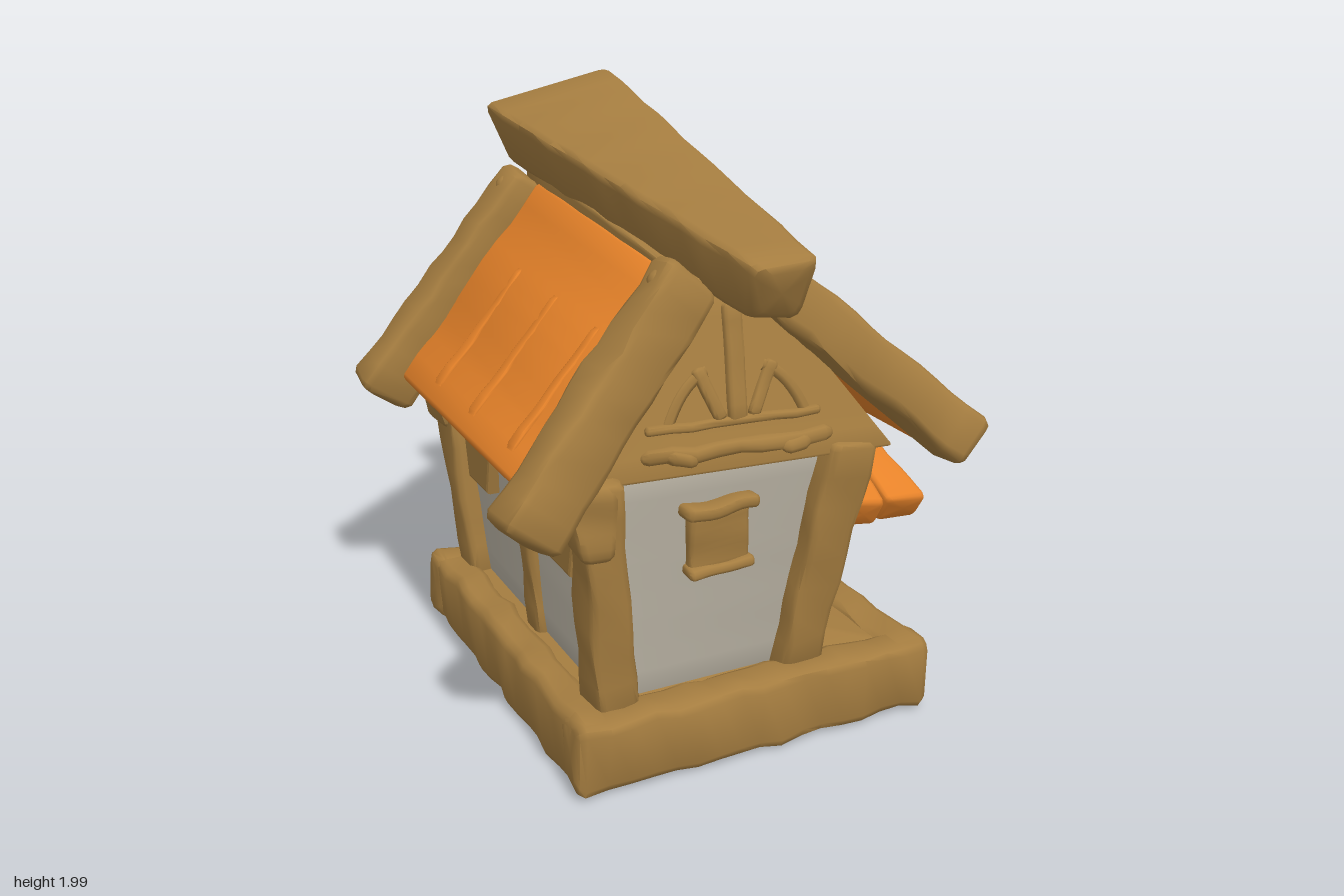
import * as THREE from 'three';
import { toCreasedNormals } from 'three/addons/utils/BufferGeometryUtils.js';

const V = (x, y, z) => new THREE.Vector3(x, y, z);

// Smooth lumpy offset for hand-hewn wood
function lump(p, n) {
  return V(
    Math.sin(p.y * 17 + p.z * 23 + 1) + 0.6 * Math.sin(p.z * 41 + p.x * 9),
    Math.sin(p.x * 21 + p.z * 19 + 2) + 0.6 * Math.sin(p.x * 37 + p.y * 11),
    Math.sin(p.x * 25 + p.y * 15 + 4) + 0.6 * Math.sin(p.y * 43 + p.x * 7)
  ).multiplyScalar(n);
}

// Solid between two four-cornered sections, with rounded edges and ends
function loft(qa, qb, { r = 0.025, n = 0.005, segs = 8 } = {}) {
  const mid = (q) => q.reduce((s, p) => s.add(p), V(0, 0, 0)).multiplyScalar(0.25);
  const len = mid(qa).distanceTo(mid(qb));
  const e = Math.min(0.3, r / len);
  const ts = [0, e * 0.3];
  for (let i = 0; i <= segs; i++) ts.push(e + (1 - 2 * e) * i / segs);
  ts.push(1 - e * 0.3, 1);
  const pos = [], idx = [], K = 12;
  const put = (p) => { p.add(lump(p, n)); pos.push(p.x, p.y, p.z); };
  ts.forEach((t, k) => {
    const end = Math.min(k, ts.length - 1 - k);
    const inset = end === 0 ? r : end === 1 ? r * 0.3 : 0;
    const q = qa.map((p, i) => p.clone().lerp(qb[i], t));
    const c = q.map((p, i) => {
      const a = q[(i + 3) % 4].clone().sub(p), b = q[(i + 1) % 4].clone().sub(p);
      const s = Math.min(inset, a.length() * 0.3, b.length() * 0.3);
      return p.clone().addScaledVector(a.normalize(), s).addScaledVector(b.normalize(), s);
    });
    c.forEach((p, i) => {
      const a = c[(i + 3) % 4].clone().sub(p), b = c[(i + 1) % 4].clone().sub(p);
      const s = Math.min(r, a.length() * 0.35, b.length() * 0.35);
      a.normalize(); b.normalize();
      put(p.clone().addScaledVector(a, s));
      put(p.clone().addScaledVector(a, s * 0.29).addScaledVector(b, s * 0.29));
      put(p.clone().addScaledVector(b, s));
    });
  });
  for (let k = 0; k < ts.length - 1; k++) for (let i = 0; i < K; i++) {
    const a = k * K + i, b = k * K + (i + 1) % K;
    idx.push(a, b, b + K, a, b + K, a + K);
  }
  const c0 = pos.length / 3, last = (ts.length - 1) * K;
  put(mid(qa)); put(mid(qb));
  for (let i = 0; i < K; i++) {
    const j = (i + 1) % K;
    idx.push(c0, j, i, c0 + 1, last + i, last + j);
  }
  // Turn the faces outward if the sections were given the other way round
  const area = qa[2].clone().sub(qa[0]).cross(qa[3].clone().sub(qa[1]));
  if (area.dot(mid(qb).sub(mid(qa))) < 0) idx.reverse();
  const g = new THREE.BufferGeometry();
  g.setAttribute('position', new THREE.Float32BufferAttribute(pos, 3));
  g.setIndex(idx);
  return toCreasedNormals(g, 0.9);
}

// Level rectangle at height y; the front left corner may sit at its own depth
const rect = (x0, x1, z0, z1, y, zl = z1) => [V(x0, y, z0), V(x1, y, z0), V(x1, y, z1), V(x0, y, zl)];

// Beam from a to b: w wide along the side direction, d deep across it
function beam(a, b, w, d, side, opt = {}) {
  const dir = b.clone().sub(a).normalize();
  const u = side.clone().addScaledVector(dir, -side.dot(dir)).normalize();
  const v = dir.clone().cross(u);
  const quad = (p, s) => [[-1, -1], [1, -1], [1, 1], [-1, 1]].map(([i, j]) =>
    p.clone().addScaledVector(u, i * w * s / 2).addScaledVector(v, j * d * s / 2));
  return loft(quad(a, 1), quad(b, opt.taper ?? 1), opt);
}

export function createModel() {
  const model = new THREE.Group();
  model.name = 'birdhouseCottage';
  const mat = (name, color) => {
    const m = new THREE.MeshStandardMaterial({ color });
    m.name = name;
    return m;
  };
  const wood = mat('brown wood', 0xa57d40);
  const orange = mat('orange roofing', 0xe9842a);
  const plaster = mat('pale plaster', 0xbbb4a5);
  const add = (name, geo, m = wood) => {
    const mesh = new THREE.Mesh(geo, m);
    mesh.name = name;
    model.add(mesh);
    return mesh;
  };
  const X = V(1, 0, 0), Y = V(0, 1, 0), Z = V(0, 0, 1);

  // Base: floor slab framed by rough logs
  add('floor', loft(rect(-0.56, 0.6, -0.66, 0.66, 0.025), rect(-0.56, 0.6, -0.66, 0.66, 0.25), { n: 0 }));
  const log = { r: 0.03, n: 0.006, segs: 16 };
  for (const s of [1, -1]) {
    add('baseEndLog', beam(V(-0.61, 0.145, s * 0.645), V(0.67, 0.145, s * 0.645), 0.24, 0.14, Y, log));
  }
  add('baseSideLog', beam(V(-0.54, 0.145, -0.71), V(-0.54, 0.145, 0.71), 0.24, 0.13, Y, log));
  add('baseSideLog', beam(V(0.59, 0.145, -0.72), V(0.59, 0.145, 0.71), 0.24, 0.14, Y, log));

  // Walls flare outward toward the eaves
  add('walls', loft(rect(-0.44, 0.22, -0.56, 0.56, 0.22), rect(-0.51, 0.34, -0.65, 0.66, 1.04, 0.62), { n: 0, r: 0.01 }), plaster);
  for (const s of [1, -1]) {
    const o = { n: 0.005, r: 0.025 }, zl = s > 0 ? 0.695 : -0.72;
    add('cornerPost', loft(rect(-0.51, -0.36, s * 0.48, s * 0.63, 0.22), rect(-0.575, -0.44, s * 0.55, zl, 1.04), o));
    add('cornerPost', loft(rect(0.13, 0.29, s * 0.48, s * 0.63, 0.22), rect(0.24, 0.41, s * 0.57, s * 0.735, 1.04), o));
    add('eaveBracket', loft(rect(-0.57, -0.46, s * 0.56, zl, 0.79), rect(-0.64, -0.46, s * 0.56, zl, 1.04)));
  }
  add('doorPlank', loft(rect(0.15, 0.25, -0.065, 0.065, 0.22), rect(0.24, 0.335, -0.065, 0.065, 0.85)));
  add('leftMiddlePost', loft(rect(-0.47, -0.38, -0.06, 0.06, 0.22), rect(-0.535, -0.44, -0.06, 0.06, 1.03)));

  // Gable block under the roof, with a ridge skirt above the roofing
  add('gables', loft(rect(-0.62, 0.46, -0.72, 0.735, 1.005, 0.64),
    [V(-0.15, 1.63, -0.64), V(0.05, 1.63, -0.64), V(0.05, 1.54, 0.61), V(-0.15, 1.54, 0.59)], { n: 0, r: 0.012 }));
  add('ridgeSkirt', loft(
    [V(-0.18, 1.57, 0.58), V(0.08, 1.57, 0.58), V(0.06, 1.42, 0.58), V(-0.15, 1.42, 0.58)],
    [V(-0.19, 1.72, -0.68), V(0.09, 1.72, -0.68), V(0.07, 1.52, -0.68), V(-0.17, 1.52, -0.68)], { r: 0.015, n: 0.003 }));

  // Gable ornaments and end windows, front and back
  for (const s of [1, -1]) {
    const at = (x, y) => V(x, y, s * ((s > 0 ? 0.685 + 0.088 * x : 0.725) - (y - 1.01) * 0.16));
    add('gableBeam', beam(at(-0.37, 1.075), at(0.25, 1.075), 0.05, 0.055, Y));
    add('gableLedge', beam(at(-0.35, 1.155), at(0.21, 1.155), 0.028, 0.05, Y, { r: 0.01, n: 0.003 }));
    add('gableStrut', beam(at(-0.06, 1.15), at(-0.06, 1.5), 0.06, 0.05, X, { r: 0.012, n: 0.002 }));
    for (const m of [1, -1]) {
      add('gableRay', beam(at(-0.06 + m * 0.05, 1.16), at(-0.06 + m * 0.12, 1.32), 0.04, 0.045, X, { r: 0.01, n: 0.002 }));
      const arc = new THREE.QuadraticBezierCurve3(at(-0.06 + m * 0.09, 1.31), at(-0.06 + m * 0.17, 1.28), at(-0.06 + m * 0.22, 1.16));
      add('gableArc', new THREE.TubeGeometry(arc, 8, 0.02, 6));
      add('gablePeg', beam(at(-0.06 + m * 0.24, 1.07), at(-0.06 + m * 0.14, 1.06), 0.05, 0.07, Y));
    }
    const k = s > 0 ? -0.012 : 0;
    add('endWindow', beam(V(-0.1, 0.655, s * 0.615 + k), V(-0.1, 0.88, s * 0.645 + k), 0.2, 0.06, X, { r: 0.015 }));
    add('endWindowHood', beam(V(-0.225, 0.875, s * 0.655 + k), V(0.02, 0.88, s * 0.655 + k), 0.045, 0.08, Y, { r: 0.015 }));
    add('endWindowSill', beam(V(-0.21, 0.67, s * 0.63 + k), V(0.01, 0.67, s * 0.63 + k), 0.035, 0.08, Y, { r: 0.012 }));
  }

  // Side windows with rounded heads, narrower at the foot
  const arch = new THREE.Shape();
  arch.moveTo(-0.085, -0.1).lineTo(0.085, -0.1).lineTo(0.115, 0.03);
  arch.bezierCurveTo(0.115, 0.14, -0.115, 0.14, -0.115, 0.03).closePath();
  const archGeo = new THREE.ExtrudeGeometry(arch, { depth: 0.05, bevelSize: 0.012, bevelThickness: 0.012, bevelSegments: 2 });
  for (const s of [1, -1]) for (const z of [0.36, -0.36]) {
    const w = add('sideWindow', archGeo);
    w.position.set(s > 0 ? 0.275 : -0.46, 0.755, z);
    w.rotation.y = s * Math.PI / 2;
  }

  // Roof slabs from eave to sloping ridge: [eave x, y, front z, back z], [ridge x, front y, front z, back y, back z]
  const slab = { n: 0.004, r: 0.015, segs: 10 };
  const roofs = [
    ['rightRoof', 1, [0.595, 1.055, 0.77, -0.77], [0.08, 1.54, 0.56, 1.64, -0.59]],
    ['leftRoof', -1, [-0.7, 1.0, 0.58, -0.62], [-0.18, 1.56, 0.53, 1.66, -0.57]],
  ];
  for (const [name, s, [ex, ey, e0, e1], [rx, y0, z0, y1, z1]] of roofs) {
    const eave = [V(ex, ey, e0), V(ex, ey, e1)], ridge = [V(rx, y0, z0), V(rx, y1, z1)];
    const section = ([a, b], dx, dy) => [a, b, b.clone().add(V(dx, dy, 0)), a.clone().add(V(dx, dy, 0))];
    add(name, loft(section(eave, -s * 0.045, -0.05), section(ridge, -s * 0.04, -0.07), slab), orange);
    // Low raised seams and pegs lying on the slope
    const on = (u, t) => eave[0].clone().lerp(eave[1], u).lerp(ridge[0].clone().lerp(ridge[1], u), t);
    for (const u of [0.2, 0.48, 0.75]) {
      add('roofSeam', beam(on(u, 0.08), on(u, 0.66), 0.055, 0.018, Z, { r: 0.016, n: 0.002, taper: 0.7 }), orange);
      if (s > 0) add('roofPeg', new THREE.SphereGeometry(0.024, 12, 8), orange).position.copy(on(u, 0.72));
    }
  }

  // Bargeboards at the four roof edges, wide enough to meet the roofing
  const boards = [
    [V(0.02, 1.59, 0.605), V(0.635, 1.035, 0.86), 0.155, 0.19],
    [V(-0.17, 1.59, 0.555), V(-0.765, 0.91, 0.675), 0.19, 0.15],
    [V(0.05, 1.66, -0.66), V(0.635, 1.06, -0.86), 0.155, 0.18],
    [V(-0.17, 1.65, -0.645), V(-0.765, 0.92, -0.69), 0.19, 0.16],
  ];
  for (const [a, b, d, w] of boards) {
    add('bargeboard', beam(a, b, w, d, Z, { r: 0.03, n: 0.005, segs: 12, taper: 1.08 }));
    const knob = add('bargeboardKnob', new THREE.SphereGeometry(0.04, 12, 8));
    knob.position.copy(a).lerp(b, 0.08).add(V(a.x > 0 ? 0.04 : -0.05, 0.04, 0));
  }

  // Ridge beam, broad and high at the back
  add('ridgeBeam', loft(
    [V(-0.15, 1.68, 0.9), V(0.075, 1.68, 0.9), V(0.055, 1.49, 0.81), V(-0.115, 1.5, 0.81)],
    [V(-0.3, 1.91, -0.79), V(0.2, 2.015, -0.79), V(0.09, 1.69, -0.79), V(-0.2, 1.69, -0.79)],
    { r: 0.03, n: 0.003, segs: 14 }));

  // Porch: plank roof, gable block, leaning posts
  const planks = [[0.36, 0.46, 0.36, 0.51], [0.46, 0.57, 0.51, 0.67], [0.57, 0.69, 0.67, 0.83]];
  for (const s of [1, -1]) {
    planks.forEach(([a0, a1, b0, b1], i) => {
      const k = i % 2 * 0.008, ez = s * (0.43 - k);
      add('porchPlank', loft(
        [V(a0, 0.965 + k, 0), V(a1, 0.96 + k, 0), V(a1, 0.84, 0), V(a0, 0.84, 0)],
        [V(b0, 0.665 + k, ez), V(b1, 0.65 + k, ez), V(b1, 0.55, ez - s * 0.06), V(b0, 0.56, ez - s * 0.06)],
        { r: 0.016, n: 0.005 }), orange);
    });
    add('porchPost', beam(V(0.55, 0.23, s * 0.155), V(0.65, 0.68, s * 0.205), 0.11, 0.1, Z, { r: 0.025, n: 0.006 }));
    // Step stringers
    add('stepStringer', beam(V(0.6, 0.225, s * 0.175), V(0.785, 0.05, s * 0.235), 0.08, 0.1, Z));
  }
  add('porchGable', loft(rect(0.3, 0.64, -0.22, 0.22, 0.63), rect(0.3, 0.62, -0.03, 0.03, 0.86), { n: 0.002, r: 0.01 }));
  add('stepTread', beam(V(0.67, 0.165, -0.18), V(0.67, 0.165, 0.18), 0.06, 0.1, Y));

  return model;
}
